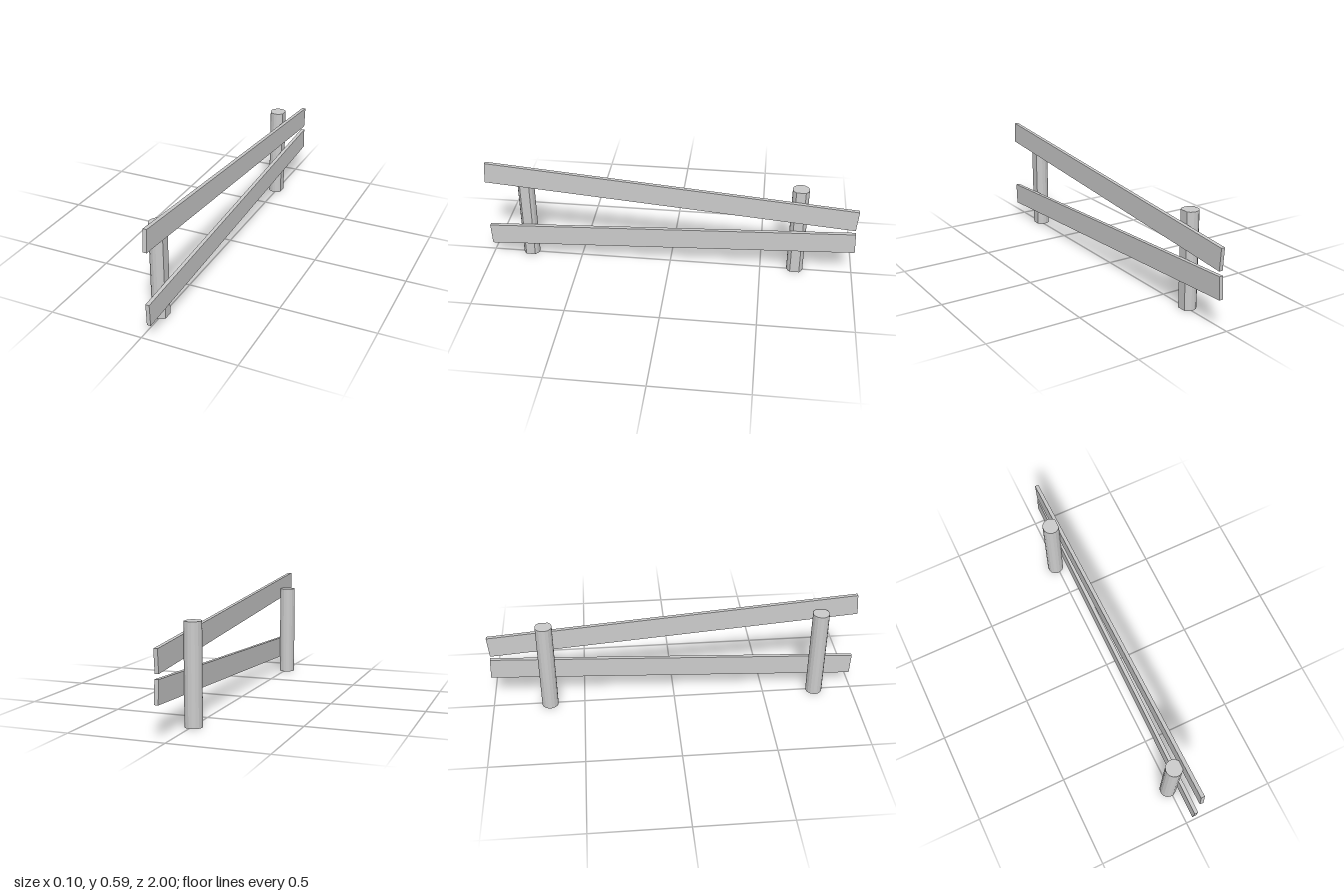
import * as THREE from 'three';

const material = new THREE.MeshStandardMaterial({ color: 0xcccccc, flatShading: true });

// Round post with one side planed flat (+x), where the rails are fixed
function makePost(name, z) {
  const radius = 0.045, height = 0.514;
  const flat = radius * Math.cos(Math.PI * 3 / 16);
  const geometry = new THREE.CylinderGeometry(radius, radius, height, 16, 1, false, Math.PI / 16);
  const position = geometry.attributes.position;
  for (let i = 0; i < position.count; i++) {
    position.setX(i, Math.min(position.getX(i), flat));
  }
  geometry.computeVertexNormals();
  const post = new THREE.Mesh(geometry, material);
  post.name = name;
  post.position.set(-0.007, height / 2, z);
  return post;
}

// Flat board running along z; a positive slope raises its front end
function makeRail(name, y, slope) {
  const rail = new THREE.Mesh(new THREE.BoxGeometry(0.02, 0.117, 1.996), material);
  rail.name = name;
  rail.position.set(0.041, y, 0);
  rail.rotation.x = -slope;
  return rail;
}

export function createModel() {
  const fence = new THREE.Group();
  fence.name = 'fence';
  fence.add(
    makePost('frontPost', 0.79),
    makePost('backPost', -0.69),
    makeRail('upperRail', 0.4515, 0.0815),
    makeRail('lowerRail', 0.183, -0.0465),
  );
  return fence;
}
